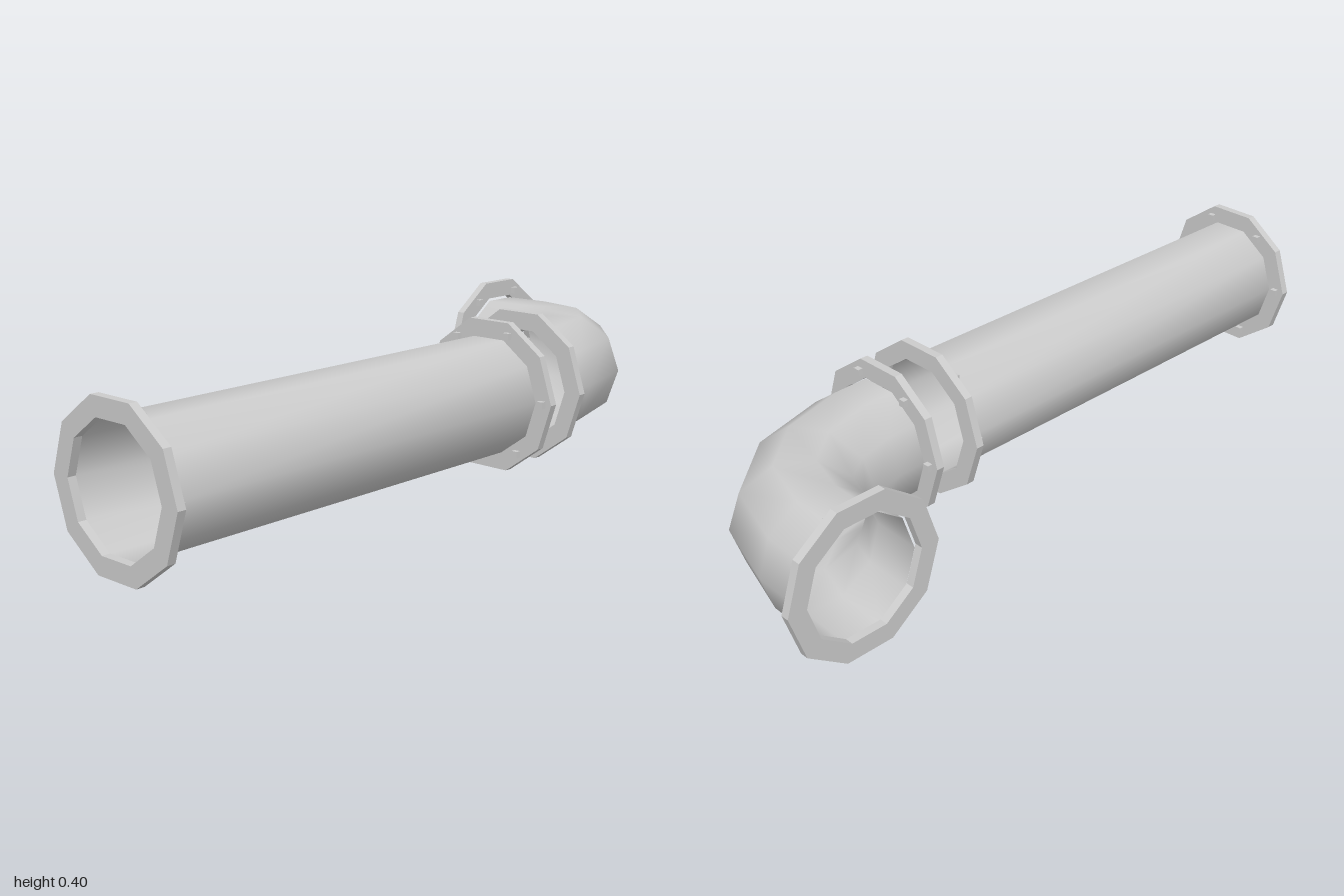
import * as THREE from 'three';

const SIDES = 10;
const PIPE_R = 0.16;
const FLANGE_R = 0.21;
const THICK = 0.022;

const metal = new THREE.MeshStandardMaterial({ color: 0xcccccc });
const flatMetal = new THREE.MeshStandardMaterial({ color: 0xcccccc, flatShading: true });
const thinMetal = new THREE.MeshStandardMaterial({ color: 0xcccccc, side: THREE.DoubleSide });

// Regular decagon with a corner on +x
function decagon(radius) {
  return Array.from({ length: SIDES }, (_, i) => {
    const t = (i / SIDES) * Math.PI * 2;
    return new THREE.Vector2(radius * Math.cos(t), radius * Math.sin(t));
  });
}

// Thin tube swept through rings [x, y, z, heading in degrees from +x towards +z]
function pipe(name, rings) {
  const positions = [];
  const index = [];
  const corners = decagon(PIPE_R);
  rings.forEach(([x, y, z, heading], i) => {
    const a = THREE.MathUtils.degToRad(heading);
    corners.forEach((c, j) => {
      positions.push(x + c.x * Math.sin(a), y + c.y, z - c.x * Math.cos(a));
      if (i === rings.length - 1) return;
      const p = i * SIDES + j;
      const q = i * SIDES + (j + 1) % SIDES;
      index.push(p, q, p + SIDES, q, q + SIDES, p + SIDES);
    });
  });
  const geometry = new THREE.BufferGeometry();
  geometry.setAttribute('position', new THREE.Float32BufferAttribute(positions, 3));
  geometry.setIndex(index);
  geometry.computeVertexNormals();
  const mesh = new THREE.Mesh(geometry, thinMetal);
  mesh.name = name;
  return mesh;
}

// Flange whose outer face lies at local z = 0, facing the given z direction
function flange(name, outward) {
  const group = new THREE.Group();
  group.name = name;

  const shape = new THREE.Shape(decagon(FLANGE_R));
  shape.holes.push(new THREE.Path(decagon(PIPE_R)));
  const plate = new THREE.ExtrudeGeometry(shape, { depth: THICK, bevelEnabled: false });
  if (outward > 0) plate.translate(0, 0, -THICK);
  const ring = new THREE.Mesh(plate, flatMetal);
  ring.name = 'flangeRing';
  group.add(ring);

  // Six bolts on the pipe side
  const boltGeometry = new THREE.BoxGeometry(0.018, 0.018, 0.022);
  for (const degrees of [0, 68, 125, 180, 248, 305]) {
    const t = THREE.MathUtils.degToRad(degrees);
    const r = degrees % 180 === 0 ? 0.183 : 0.179;
    const bolt = new THREE.Mesh(boltGeometry, metal);
    bolt.name = 'bolt';
    bolt.position.set(r * Math.cos(t), r * Math.sin(t), -outward * (THICK + 0.003));
    group.add(bolt);
  }
  return group;
}

export function createModel() {
  const model = new THREE.Group();
  model.name = 'pipeSections';

  // Straight section
  const straight = new THREE.Group();
  straight.name = 'straightSection';
  straight.add(pipe('straightPipe', [
    [0.11, 0.2, -0.26 + THICK, 90],
    [0.11, 0.2, 1 - THICK, 90],
  ]));
  const front = flange('frontFlange', 1);
  front.position.set(0.11, 0.2, 1);
  const back = flange('backFlange', -1);
  back.position.set(0.11, 0.2, -0.26);
  straight.add(front, back);

  // Elbow section, bending from the right side round to the front
  const elbow = new THREE.Group();
  elbow.name = 'elbowSection';
  elbow.add(pipe('elbowPipe', [
    [-0.299, 0.192, -0.797, 0],
    [-0.163, 0.194, -0.795, 3],
    [-0.035, 0.197, -0.757, 29],
    [0.057, 0.2, -0.645, 60],
    [0.097, 0.202, -0.49, 86],
    [0.098, 0.203, -0.4, 90],
  ]));
  const elbowFront = flange('elbowFrontFlange', 1);
  elbowFront.position.set(0.1, 0.204, -0.378);
  const elbowSide = flange('elbowSideFlange', -1);
  elbowSide.rotation.y = Math.PI / 2;
  elbowSide.position.set(-0.32, 0.2, -0.793);
  elbow.add(elbowFront, elbowSide);

  model.add(straight, elbow);
  return model;
}
